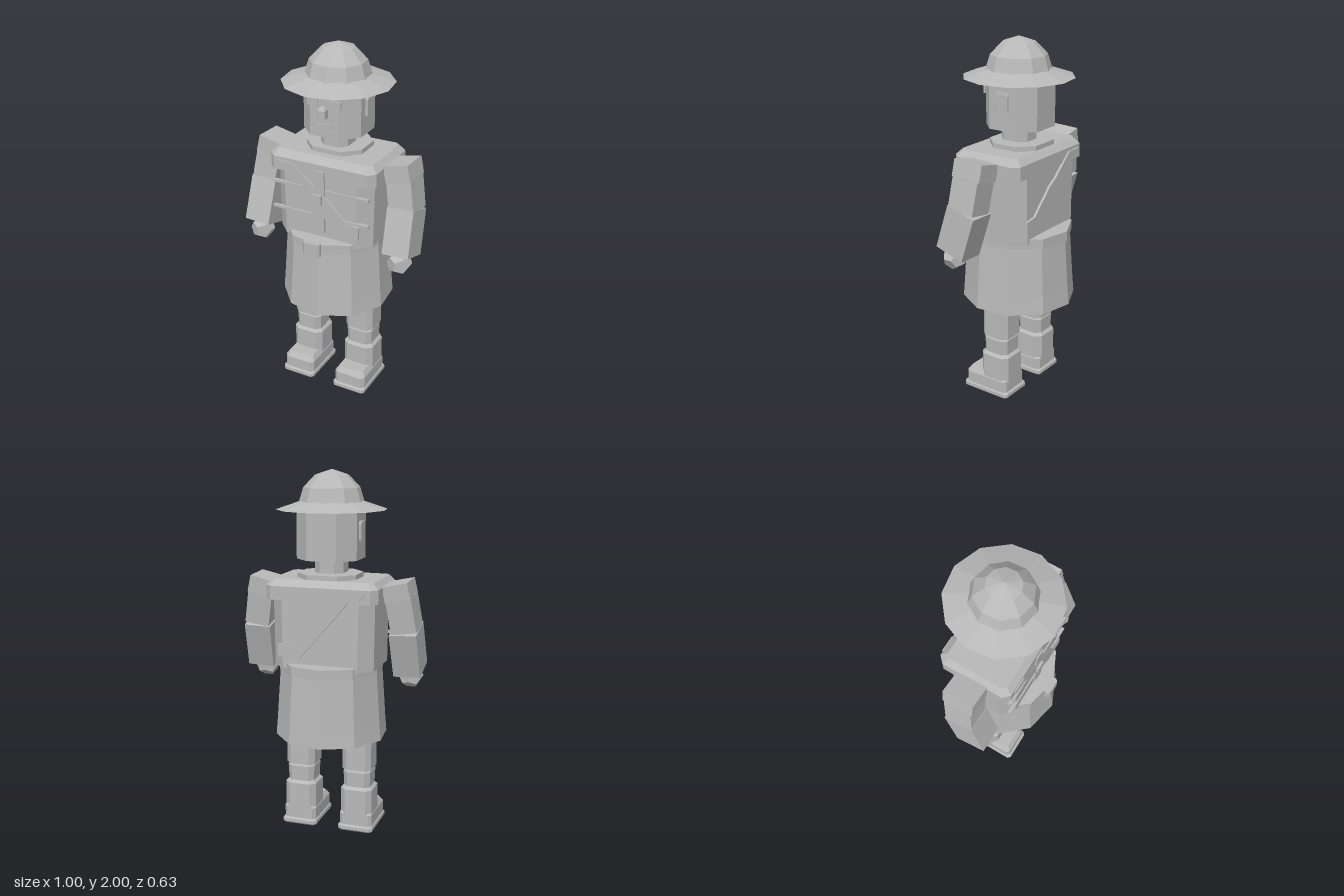
import * as THREE from 'three';

const grey = new THREE.MeshStandardMaterial({ color: 0xb8b8b8, flatShading: true, side: THREE.DoubleSide });
grey.name = 'plain grey';

// Stack of chamfered rectangles [y, halfX, halfZ, chamfer], capped at both ends
function loft(rings) {
  const loops = rings.map(([y, x, z, c]) =>
    [[x - c, z], [x, z - c], [x, c - z], [x - c, -z], [c - x, -z], [-x, c - z], [-x, z - c], [c - x, z]]
      .map(([px, pz]) => [px, y, pz]));
  const pos = [];
  const last = loops.length - 1;
  for (let i = 0; i < 8; i++) {
    const j = (i + 1) % 8;
    for (let k = 0; k < last; k++) {
      const lo = loops[k], up = loops[k + 1];
      pos.push(...lo[i], ...lo[j], ...up[j], ...lo[i], ...up[j], ...up[i]);
    }
    pos.push(0, rings[last][0], 0, ...loops[last][i], ...loops[last][j]);
    pos.push(0, rings[0][0], 0, ...loops[0][j], ...loops[0][i]);
  }
  const g = new THREE.BufferGeometry();
  g.setAttribute('position', new THREE.Float32BufferAttribute(pos, 3));
  g.computeVertexNormals();
  return g;
}

function add(parent, name, geometry, x = 0, y = 0, z = 0) {
  const m = new THREE.Mesh(geometry, grey);
  m.name = name;
  m.position.set(x, y, z);
  parent.add(m);
  return m;
}

const box = (w, h, d) => new THREE.BoxGeometry(w, h, d);

function lathe(points, sides, degrees) {
  return new THREE.LatheGeometry(points.map(p => new THREE.Vector2(...p)), sides, THREE.MathUtils.degToRad(degrees));
}

// Box running from point a down to point b
function limb(parent, name, a, b, w, d) {
  const p = new THREE.Vector3(...a), q = new THREE.Vector3(...b);
  const m = add(parent, name, box(w, p.distanceTo(q), d));
  m.position.copy(p).add(q).multiplyScalar(0.5);
  m.quaternion.setFromUnitVectors(new THREE.Vector3(0, 1, 0), p.sub(q).normalize());
}

export function createModel() {
  const model = new THREE.Group();
  model.name = 'uniformed figure';

  // Hat
  const hat = new THREE.Group();
  hat.name = 'hat';
  model.add(hat);
  add(hat, 'hatBrim', lathe([[0.3, 1.79], [0.165, 1.835]], 12, -6));
  add(hat, 'hatDome', lathe([[0.177, 1.825], [0.152, 1.905], [0.09, 1.97], [0, 2]], 10, 6));

  // Head and face
  const head = new THREE.Group();
  head.name = 'head';
  model.add(head);
  add(head, 'skull', loft([[1.53, 0.168, 0.165, 0.085], [1.82, 0.168, 0.165, 0.085]]), 0, 0, -0.01);
  add(head, 'nose', loft([[1.64, 0.022, 0.025, 0.008], [1.685, 0.022, 0.025, 0.008], [1.7, 0.012, 0.015, 0.005]]), 0, 0, 0.168);
  add(head, 'mouth', box(0.08, 0.018, 0.015), 0, 1.595, 0.156);
  for (const s of [-1, 1]) {
    add(head, 'eye', box(0.062, 0.04, 0.012), s * 0.066, 1.715, 0.154);
    add(head, 'eyebrow', box(0.08, 0.016, 0.025), s * 0.07, 1.76, 0.153);
    add(head, 'ear', loft([[1.635, 0.012, 0.04, 0.005], [1.72, 0.012, 0.04, 0.005], [1.735, 0.01, 0.028, 0.005]]),
      s * 0.169, 0, -0.015);
  }
  add(model, 'neck', loft([[1.43, 0.08, 0.085, 0.04], [1.54, 0.08, 0.085, 0.04]]));
  add(model, 'collar', loft([[1.425, 0.165, 0.15, 0.08], [1.455, 0.165, 0.15, 0.08]]), 0, 0, -0.02);

  // Tunic
  add(model, 'torso', loft([[0.95, 0.28, 0.205, 0.07], [1.35, 0.285, 0.205, 0.07]]));
  add(model, 'shoulderYoke', loft([[1.32, 0.312, 0.21, 0.035], [1.395, 0.312, 0.21, 0.035], [1.43, 0.28, 0.175, 0.02]]));
  add(model, 'placket', box(0.06, 0.35, 0.02), 0, 1.185, 0.208);
  add(model, 'strapBuckle', box(0.052, 0.055, 0.02), -0.008, 1.2, 0.222);
  for (const s of [-1, 1]) for (const y of [1.25, 1.1])
    add(model, 'chestBar', box(0.26, 0.014, 0.02), s * 0.155, y, 0.203);

  // Diagonal strap over the right shoulder, front and back
  const strapShape = new THREE.Shape([[-0.25, 1.38], [-0.16, 1.375], [-0.03, 1.26], [0.02, 1.23], [0.16, 1.095],
    [0.23, 1.085], [0.23, 1.015], [0.105, 1.015], [-0.16, 1.325], [-0.22, 1.335]].reverse()
    .map(p => new THREE.Vector2(...p)));
  const strap = new THREE.ExtrudeGeometry(strapShape, { depth: 0.014, bevelEnabled: false });
  add(model, 'frontStrap', strap, 0, 0, 0.203);
  add(model, 'backStrap', strap, 0, 0, -0.22);

  // Belt and coat skirt
  const belt = add(model, 'belt', lathe([[0, 0.92], [0.3, 0.92], [0.3, 0.975], [0, 0.985]], 10, 6));
  const skirt = add(model, 'coatSkirt', lathe([[0.316, 0.545], [0.308, 0.64], [0.288, 0.925]], 10, 6));
  belt.scale.x = 0.95;
  skirt.scale.x = 0.98;
  add(model, 'beltBuckle', loft([[0.91, 0.05, 0.02, 0.012], [0.985, 0.05, 0.02, 0.012]]), 0, 0, 0.298);

  for (const s of [-1, 1]) {
    // Arm
    const arm = new THREE.Group();
    arm.name = s > 0 ? 'leftArm' : 'rightArm';
    model.add(arm);
    limb(arm, 'shoulderCap', [s * 0.372, 1.415, -0.002], [s * 0.392, 1.325, 0.002], 0.14, 0.176);
    limb(arm, 'upperArm', [s * 0.39, 1.34, 0.002], [s * 0.42, 1.155, 0.02], 0.14, 0.16);
    limb(arm, 'forearm', [s * 0.415, 1.165, 0.016], [s * 0.425, 0.922, 0.09], 0.15, 0.175);
    add(arm, 'hand', new THREE.DodecahedronGeometry(0.068), s * 0.425, 0.882, 0.11);

    // Leg and boot
    const leg = new THREE.Group();
    leg.name = s > 0 ? 'leftLeg' : 'rightLeg';
    leg.position.x = s * 0.165;
    model.add(leg);
    add(leg, 'thigh', loft([[0.36, 0.083, 0.083, 0.028], [0.93, 0.083, 0.083, 0.028]]));
    add(leg, 'knee', loft([[0.25, 0.074, 0.075, 0.026], [0.345, 0.078, 0.078, 0.026], [0.36, 0.07, 0.07, 0.024]]));
    add(leg, 'shin', loft([[0.09, 0.09, 0.09, 0.03], [0.245, 0.09, 0.09, 0.03], [0.26, 0.075, 0.075, 0.025]]));
    add(leg, 'boot', loft([[0.03, 0.093, 0.137, 0.018], [0.1, 0.093, 0.137, 0.018], [0.13, 0.075, 0.115, 0.015]]), 0, 0, 0.05);
    add(leg, 'sole', loft([[0, 0.09, 0.14, 0.01], [0.01, 0.1, 0.15, 0.015], [0.028, 0.1, 0.15, 0.015],
      [0.036, 0.094, 0.143, 0.015]]), 0, 0, 0.05);
  }
  return model;
}
